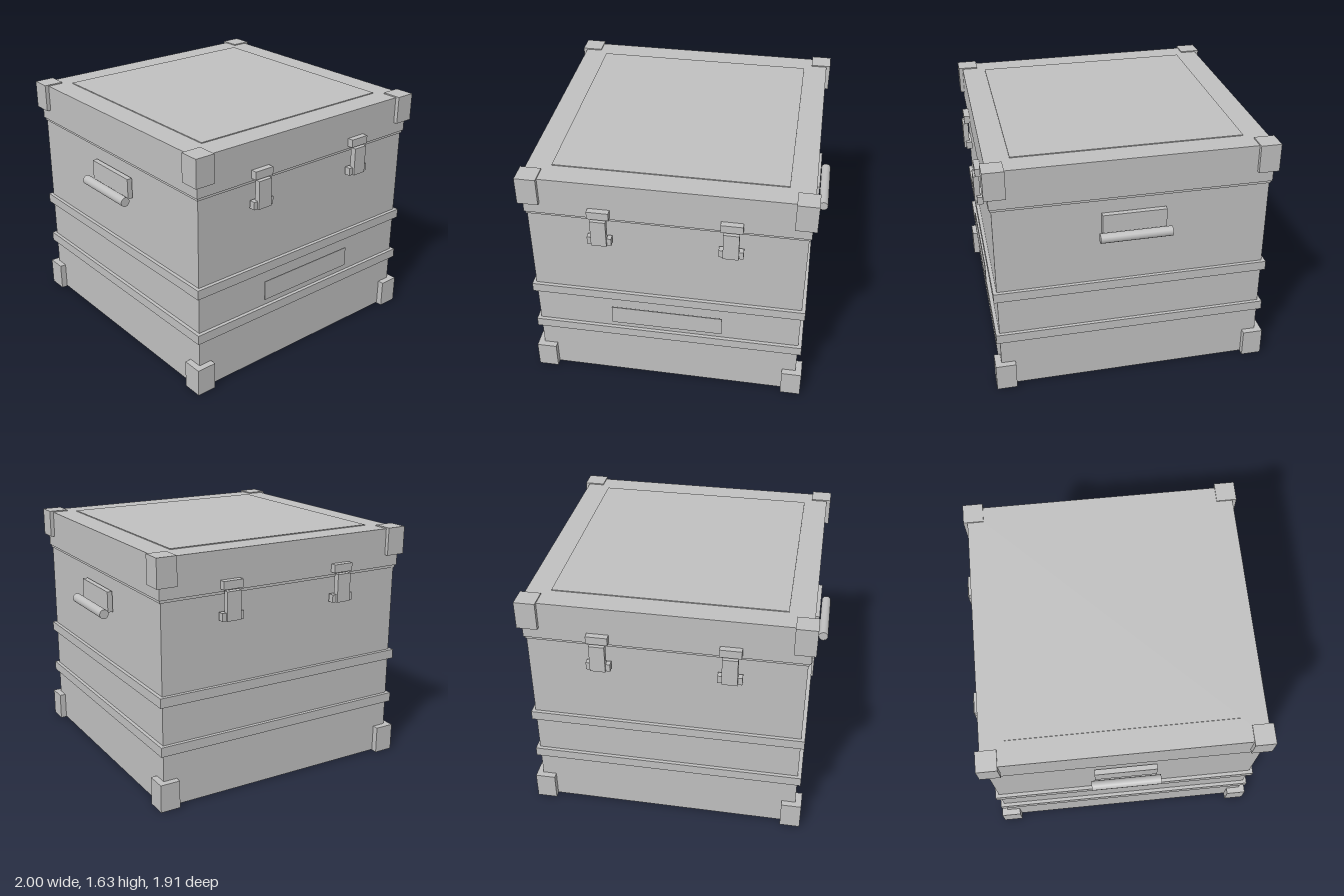
import * as THREE from 'three';

const metal = new THREE.MeshStandardMaterial({ color: 0xc0c0c0 });
metal.name = 'light grey metal';

// Box given by its lower and upper limits on each axis
function box(name, [x0, x1], [y0, y1], [z0, z1]) {
  const mesh = new THREE.Mesh(new THREE.BoxGeometry(x1 - x0, y1 - y0, z1 - z0), metal);
  mesh.position.set((x0 + x1) / 2, (y0 + y1) / 2, (z0 + z1) / 2);
  mesh.name = name;
  return mesh;
}

// Square slab centred on the vertical axis
const slab = (name, half, y) => box(name, [-half, half], y, [-half, half]);

// Three-piece latch on the +z side
function createLatch(x) {
  const latch = new THREE.Group();
  latch.name = 'latch';
  latch.add(
    box('latchCatch', [-0.07, 0.07], [1.383, 1.437], [0.9, 0.943]),
    box('latchStrap', [-0.05, 0.05], [1.185, 1.373], [0.917, 0.955]),
    box('latchBase', [-0.078, 0.078], [1.185, 1.237], [0.9, 0.941])
  );
  latch.position.x = x;
  return latch;
}

// Mounting plate and round grip on the +x side
function createHandle() {
  const handle = new THREE.Group();
  handle.name = 'sideHandle';
  const grip = new THREE.Mesh(new THREE.CylinderGeometry(0.032, 0.032, 0.465, 14), metal);
  grip.name = 'handleGrip';
  grip.rotation.x = Math.PI / 2;
  grip.position.set(0.968, 1.12, 0);
  handle.add(box('handlePlate', [0.895, 0.93], [1.12, 1.259], [-0.207, 0.207]), grip);
  return handle;
}

export function createModel() {
  const model = new THREE.Group();
  model.name = 'storageCase';

  // Body, seam lip, lid and raised lid panel
  model.add(
    slab('body', 0.888, [0.005, 1.35]),
    slab('seamLip', 0.895, [1.346, 1.364]),
    slab('lid', 0.903, [1.364, 1.623]),
    slab('lidPanel', 0.743, [1.62, 1.629])
  );

  // Reinforcing ribs around the body
  model.add(slab('lowerRib', 0.912, [0.367, 0.431]), slab('upperRib', 0.912, [0.692, 0.756]));

  // Corner protectors, top and bottom
  for (const x of [-0.8625, 0.8625]) {
    for (const z of [-0.8625, 0.8625]) {
      for (const y of [0, 1.444]) {
        model.add(box('cornerProtector', [x - 0.0675, x + 0.0675], [y, y + 0.187], [z - 0.0675, z + 0.0675]));
      }
    }
  }

  // Latches and handles, repeated on opposite sides by a half turn
  for (const turn of [0, Math.PI]) {
    const side = new THREE.Group();
    side.name = turn ? 'backAndRightFittings' : 'frontAndLeftFittings';
    side.add(createLatch(-0.418), createLatch(0.418), createHandle());
    side.rotation.y = turn;
    model.add(side);
  }

  // Blank plate on the front
  model.add(box('frontPlate', [-0.372, 0.372], [0.491, 0.627], [0.915, 0.921]));

  return model;
}
